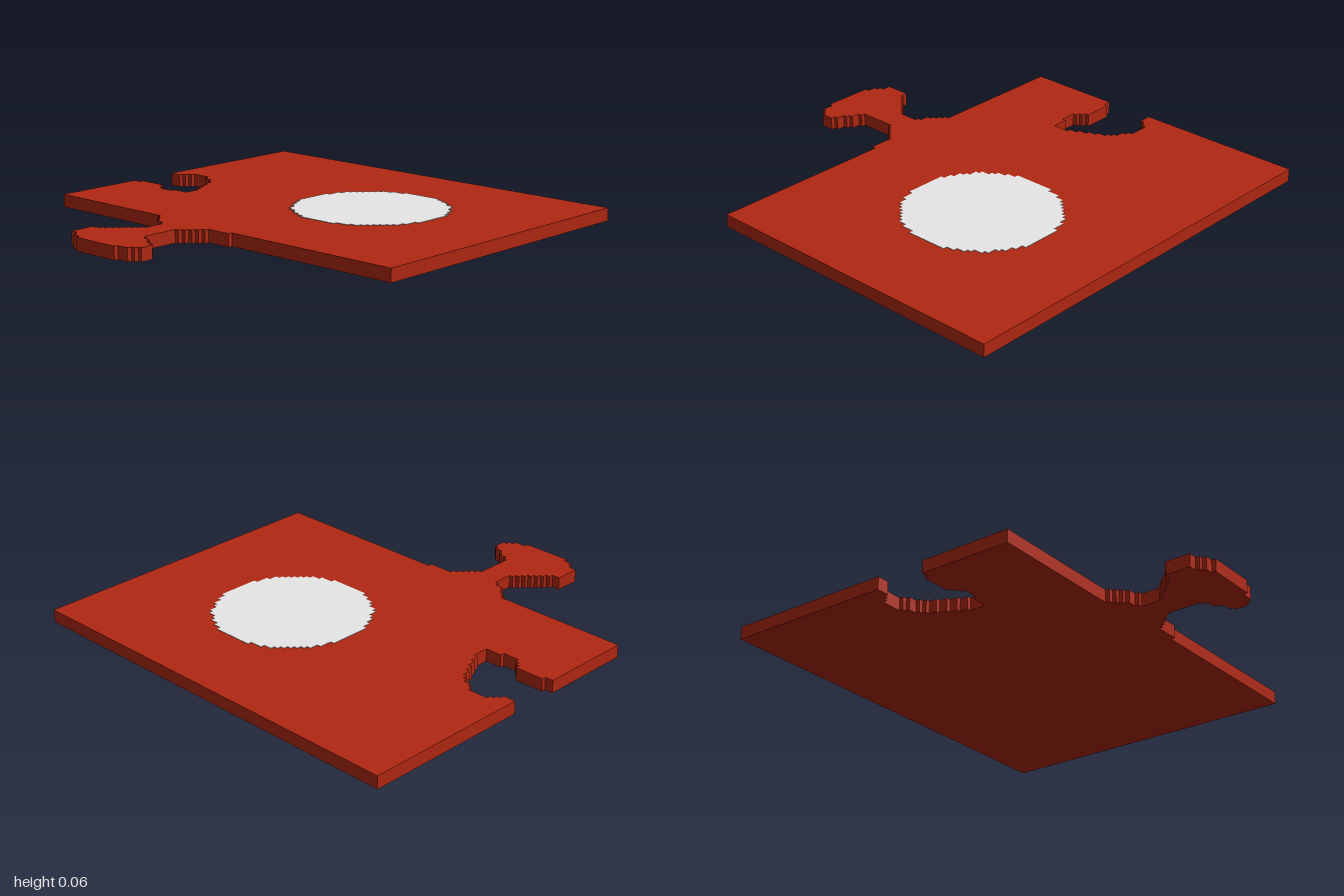
import * as THREE from 'three';

const STEP = 0.02;
const snap = v => Math.round(v / STEP) * STEP;

// Turn a closed outline of [x, z] points into a stair-stepped shape on a fine grid
function steppedShape(points) {
  const out = [];
  let px = snap(points[0][0]), pz = snap(points[0][1]);
  out.push(new THREE.Vector2(px, -pz));
  points.forEach(([ax, az], i) => {
    const [bx, bz] = points[(i + 1) % points.length];
    const n = Math.max(1, Math.ceil(Math.hypot(bx - ax, bz - az) / 0.004));
    for (let k = 1; k <= n; k++) {
      const x = snap(ax + (bx - ax) * k / n), z = snap(az + (bz - az) * k / n);
      if (x !== px) out.push(new THREE.Vector2(x, -pz));
      if (z !== pz) out.push(new THREE.Vector2(x, -z));
      px = x; pz = z;
    }
  });
  out.pop(); // the last point repeats the first
  return new THREE.Shape(out);
}

// Flat slab lying on the ground plane, raised to y
function slab(name, shape, y, depth, material) {
  const geo = new THREE.ExtrudeGeometry(shape, { depth, bevelEnabled: false });
  geo.rotateX(-Math.PI / 2);
  const mesh = new THREE.Mesh(geo, material);
  mesh.name = name;
  mesh.position.y = y;
  return mesh;
}

export function createModel() {
  const group = new THREE.Group();
  group.name = 'puzzlePiece';
  const red = new THREE.MeshStandardMaterial({ color: 0xb02712 });
  red.name = 'brick red';
  const white = new THREE.MeshStandardMaterial({ color: 0xf5f5f5 });
  white.name = 'white';

  // Socket in the left edge, back to front
  const socket = [
    [-1, -0.2], [-0.94, -0.2], [-0.9, -0.26], [-0.81, -0.26], [-0.79, -0.24],
    [-0.72, -0.19], [-0.68, -0.12], [-0.64, -0.04], [-0.62, 0], [-0.62, 0.06],
    [-0.7, 0.06], [-0.7, 0.08], [-0.76, 0.08], [-0.78, 0.06], [-0.82, 0.02],
    [-0.96, 0.02], [-0.96, 0.04], [-1, 0.04],
  ];
  // Tab on the front edge, left to right
  const tab = [
    [-1, 0.48], [-0.36, 0.48], [-0.32, 0.51], [-0.26, 0.56], [-0.22, 0.6],
    [-0.22, 0.66], [-0.24, 0.7], [-0.36, 0.82], [-0.4, 0.82], [-0.4, 0.94],
    [-0.36, 0.94], [-0.34, 0.97], [-0.28, 1], [-0.06, 1], [-0.06, 0.98],
    [0, 0.97], [0.04, 0.93], [0.04, 0.88], [0, 0.86], [-0.06, 0.82],
    [-0.1, 0.78], [-0.1, 0.64], [-0.06, 0.58], [0.02, 0.52], [0.12, 0.52], [0.12, 0.5],
  ];
  const outline = [[-1, -1], ...socket, ...tab, [1, 0.5], [1, -1]];
  group.add(slab('board', steppedShape(outline), 0, 0.06, red));

  // Pale round spot on the top face
  const spot = [];
  for (let i = 0; i < 64; i++) {
    const a = i / 64 * Math.PI * 2;
    spot.push([0.23 + 0.355 * Math.cos(a), -0.27 + 0.355 * Math.sin(a)]);
  }
  group.add(slab('roundSpot', steppedShape(spot), 0.06, 0.002, white));
  return group;
}
